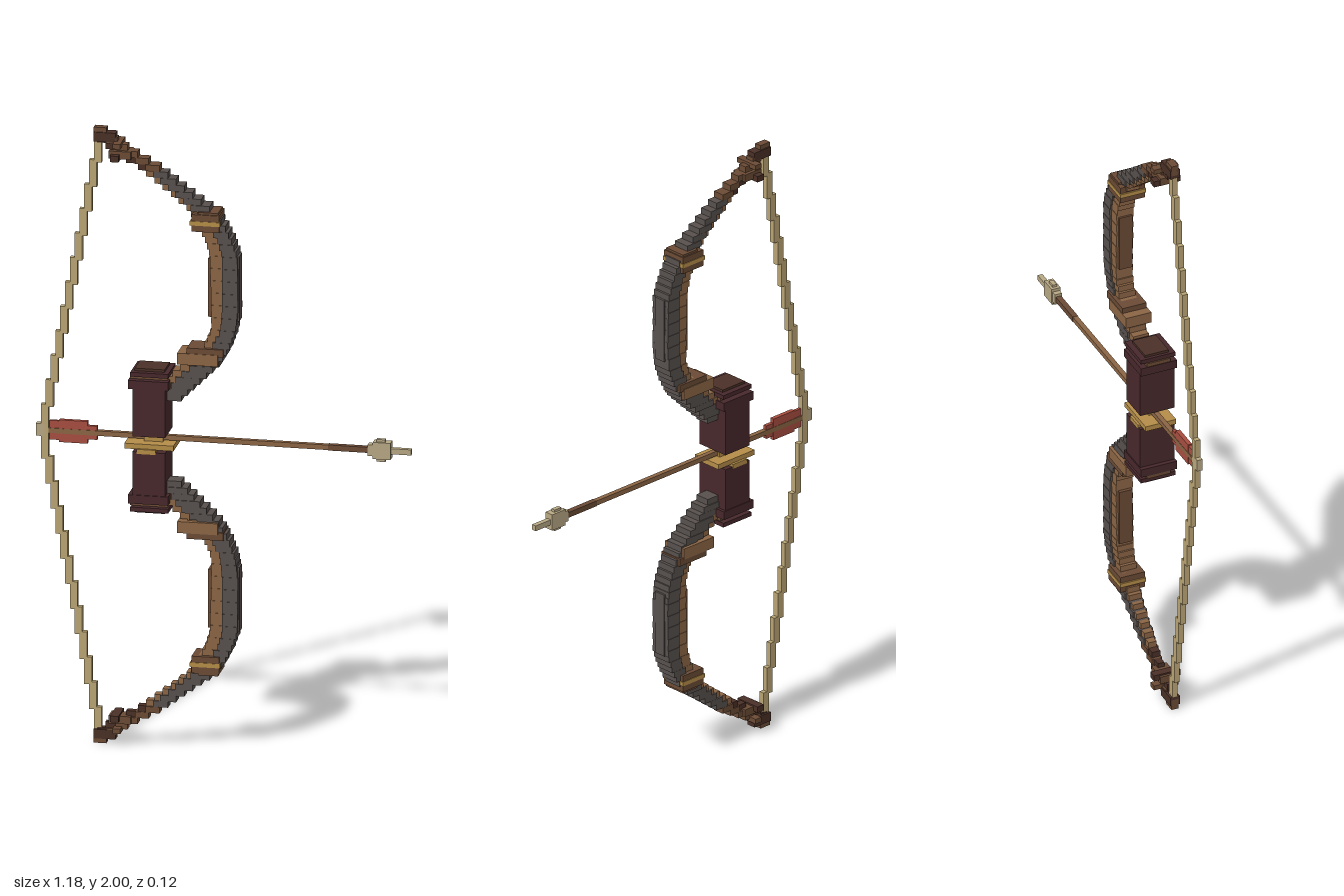
import * as THREE from 'three';

export function createModel() {
  const root = new THREE.Group();
  root.name = 'bowAndArrow';
  const mat = (name, color) => {
    const m = new THREE.MeshStandardMaterial({ color });
    m.name = name;
    return m;
  };
  const M = {
    grey: mat('greyHorn', 0x57504d),
    wood: mat('brownWood', 0x6b4b35),
    light: mat('lightWood', 0x8b6545),
    dark: mat('darkWood', 0x4a3027),
    grip: mat('maroonLeather', 0x47282b),
    gold: mat('gold', 0xb58d48),
    string: mat('stringTan', 0xb9a474),
    red: mat('redFeather', 0xa84e40),
    bone: mat('paleBone', 0xb8a884),
  };
  // Box given by its bounds in x and y and its half depth in z
  const box = (parent, name, m, x0, x1, y0, y1, hz, z = 0) => {
    const mesh = new THREE.Mesh(new THREE.BoxGeometry(x1 - x0, Math.abs(y1 - y0), hz * 2), m);
    mesh.position.set((x0 + x1) / 2, (y0 + y1) / 2, z);
    mesh.name = name;
    parent.add(mesh);
    return mesh;
  };
  const group = (name) => {
    const g = new THREE.Group();
    g.name = name;
    root.add(g);
    return g;
  };

  // Limb profile: height from the bow's middle, inner x, wood/horn border x, outer x, half depth
  const profile = [
    [0.13, -0.20, -0.19, -0.14, 0.026],
    [0.17, -0.18, -0.17, -0.10, 0.03],
    [0.21, -0.17, -0.14, -0.06, 0.034],
    [0.26, -0.11, -0.08, -0.01, 0.034],
    [0.31, -0.06, -0.035, 0.02, 0.034],
    [0.37, -0.035, -0.005, 0.042, 0.035],
    [0.44, -0.035, 0.0, 0.05, 0.035],
    [0.61, -0.04, 0.0, 0.048, 0.035],
    [0.66, -0.055, -0.015, 0.03, 0.034],
    [0.71, -0.08, -0.05, 0.005, 0.032],
    [0.76, -0.115, -0.10, -0.04, 0.028],
    [0.80, -0.165, -0.15, -0.095, 0.024],
    [0.88, -0.27, -0.245, -0.20, 0.02],
    [0.92, -0.345, -0.31, -0.27, 0.017],
    [0.96, -0.40, -0.37, -0.335, 0.015],
  ];
  const sample = (d) => {
    let i = 0;
    while (i < profile.length - 2 && d > profile[i + 1][0]) i++;
    const a = profile[i], b = profile[i + 1];
    const t = THREE.MathUtils.clamp((d - a[0]) / (b[0] - a[0]), 0, 1);
    return a.map((v, k) => v + (b[k] - v) * t);
  };

  for (const s of [1, -1]) {
    const side = s > 0 ? 'upper' : 'lower';
    const Y = (d) => 1 + s * d;

    // Stepped limb: horn back and wooden belly
    const limb = group(side + 'Limb');
    const step = 0.02;
    for (let k = 0; k < 42; k++) {
      const d = 0.13 + k * step;
      const [, xi, xm, xo, hz] = sample(d + step / 2);
      const tip = d > 0.855;
      const depth = hz + (k % 2 ? 0 : -0.0015);
      box(limb, 'limbBack', tip ? M.wood : M.grey, xm, xo, Y(d), Y(d + step), depth);
      box(limb, 'limbBelly', tip ? M.dark : M.light, xi, xm, Y(d), Y(d + step), depth - 0.006);
    }
    // Long slats along the outer curve
    box(limb, 'outerSlat', M.grey, 0.03, 0.052, Y(0.40), Y(0.61), 0.02);
    box(limb, 'innerSlat', M.wood, -0.046, -0.02, Y(0.41), Y(0.60), 0.022);

    // Limb collars
    const collars = group(side + 'Collars');
    box(collars, 'lowerCollar', M.light, -0.14, -0.012, Y(0.255), Y(0.292), 0.043);
    box(collars, 'lowerCollarStep', M.wood, -0.11, 0.005, Y(0.285), Y(0.31), 0.041);
    box(collars, 'upperCollar', M.wood, -0.095, -0.008, Y(0.69), Y(0.745), 0.042);
    box(collars, 'upperCollarBand', M.gold, -0.10, -0.005, Y(0.71), Y(0.724), 0.044);
    box(collars, 'upperCollarTop', M.wood, -0.075, -0.012, Y(0.745), Y(0.752), 0.038);

    // Tip with cross pegs
    const tip = group(side + 'Tip');
    box(tip, 'tipNock', M.wood, -0.41, -0.37, Y(0.965), Y(1.0), 0.012);
    box(tip, 'tipHook', M.dark, -0.41, -0.34, Y(0.955), Y(0.985), 0.016);
    box(tip, 'crossPeg', M.dark, -0.352, -0.325, Y(0.90), Y(0.92), 0.045);
    box(tip, 'smallCrossPeg', M.wood, -0.345, -0.32, Y(0.942), Y(0.958), 0.042);
    box(tip, 'tipBinding', M.wood, -0.36, -0.29, Y(0.905), Y(0.93), 0.026);

    // Grip half with stepped cap
    const grip = group(side + 'Grip');
    box(grip, 'gripBlock', M.grip, -0.278, -0.175, Y(s > 0 ? 0.018 : 0.032), Y(0.185), 0.058);
    box(grip, 'gripCap', M.grip, -0.292, -0.165, Y(0.172), Y(0.2), 0.061);
    box(grip, 'gripTrim', M.wood, -0.29, -0.17, Y(0.2), Y(0.212), 0.04);
    box(grip, 'gripTop', M.grip, -0.285, -0.165, Y(0.212), Y(0.226), 0.059);
    box(grip, 'gripCrest', M.dark, -0.275, -0.18, Y(0.226), Y(0.234), 0.04);

    // Stepped bowstring
    const string = group(side + 'String');
    const n = 12;
    for (let k = 0; k < n; k++) {
      const t = (k + 0.5) / n;
      const x = -0.573 + 0.183 * t;
      box(string, 'stringSegment', M.string, x - 0.012, x + 0.012,
        Y((k / n) * 0.965), Y(((k + 1) / n) * 0.965 + 0.008), 0.009);
    }
  }

  // Gold arrow rest between the grip halves
  const rest = group('arrowRest');
  box(rest, 'restPlate', M.gold, -0.305, -0.15, 0.975, 0.992, 0.052);
  box(rest, 'restBase', M.gold, -0.265, -0.205, 0.962, 0.977, 0.06);
  box(rest, 'restCore', M.gold, -0.25, -0.19, 0.99, 1.022, 0.016);

  // Arrow
  const arrow = group('arrow');
  box(arrow, 'shaft', M.light, -0.57, 0.46, 0.996, 1.012, 0.008);
  box(arrow, 'shaftSleeve', M.wood, 0.33, 0.46, 0.995, 1.013, 0.009);
  box(arrow, 'nock', M.bone, -0.593, -0.565, 0.985, 1.025, 0.009);
  box(arrow, 'featherCentre', M.red, -0.52, -0.43, 0.968, 1.04, 0.007);
  box(arrow, 'featherRear', M.red, -0.55, -0.50, 0.974, 1.036, 0.005);
  box(arrow, 'featherFront', M.red, -0.44, -0.40, 0.982, 1.026, 0.006);
  box(arrow, 'headCollar', M.bone, 0.455, 0.485, 0.986, 1.022, 0.012);
  box(arrow, 'headBlock', M.bone, 0.472, 0.528, 0.978, 1.032, 0.015);
  box(arrow, 'headUpperBarb', M.bone, 0.482, 0.51, 1.03, 1.04, 0.007);
  box(arrow, 'headLowerBarb', M.bone, 0.482, 0.51, 0.968, 0.98, 0.007);
  box(arrow, 'headPoint', M.bone, 0.525, 0.592, 0.995, 1.013, 0.008);

  return root;
}
